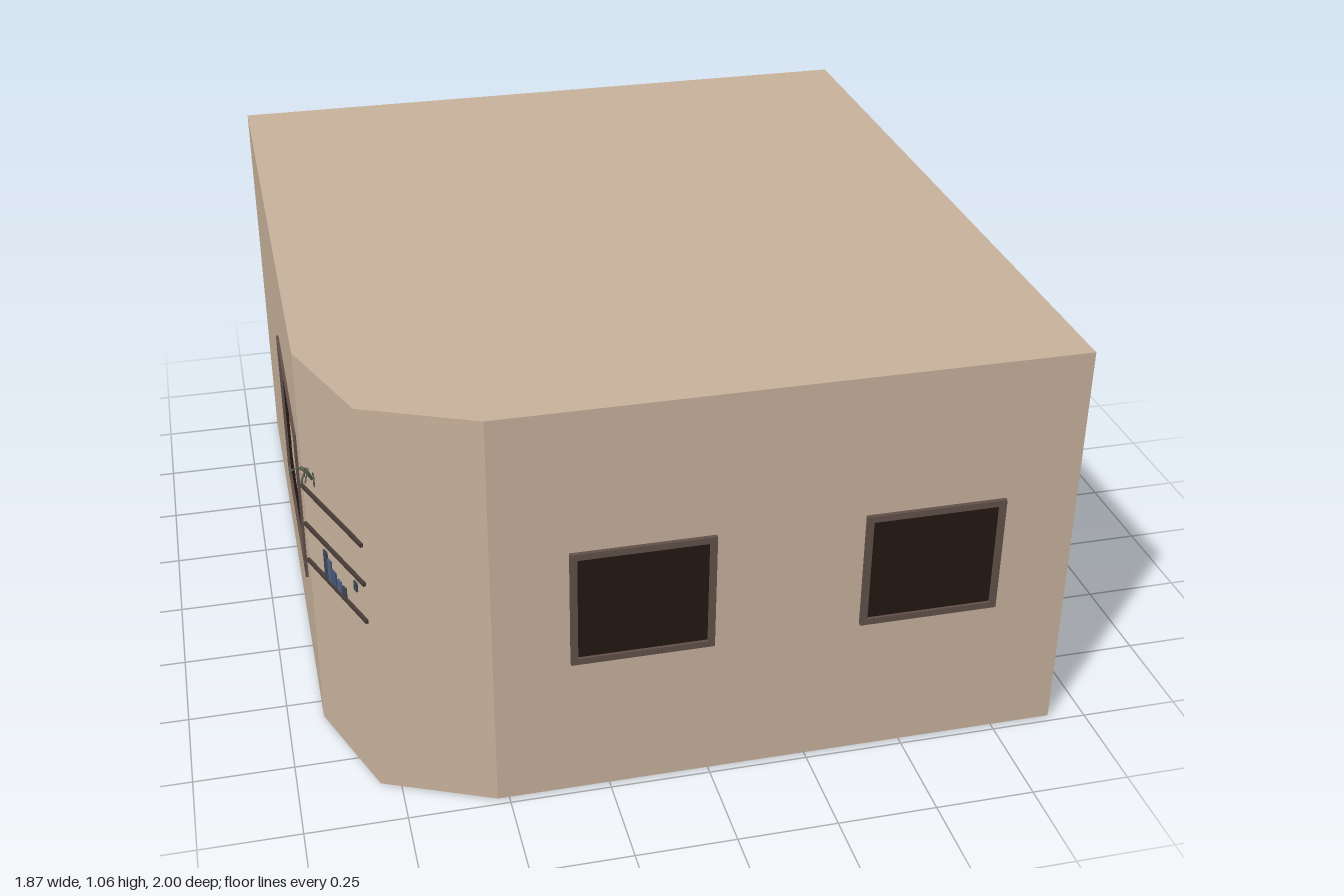
import * as THREE from 'three';

const mat = (color) => new THREE.MeshStandardMaterial({ color, side: THREE.DoubleSide });
const wallMat = mat(0xc8b29c);
const frameMat = mat(0x62504a);
const doorMat = mat(0x5f4c43);
const glassMat = mat(0x241712);
const shelfMat = mat(0x4a3d38);
const leafMat = mat(0x59614f);

function box(parent, name, material, size, pos) {
  const mesh = new THREE.Mesh(new THREE.BoxGeometry(...size), material);
  mesh.name = name;
  mesh.position.set(...pos);
  parent.add(mesh);
  return mesh;
}

// Rectangular ring facing +z, centred on its own origin
function frame(parent, name, w, h, border, depth) {
  const ring = (a, b, type) => new type([[-a, -b], [a, -b], [a, b], [-a, b]].map(([x, y]) => new THREE.Vector2(x, y)));
  const shape = ring(w / 2, h / 2, THREE.Shape);
  shape.holes.push(ring(w / 2 - border, h / 2 - border, THREE.Path));
  const mesh = new THREE.Mesh(new THREE.ExtrudeGeometry(shape, { depth, bevelEnabled: false }), frameMat);
  mesh.name = name;
  parent.add(mesh);
  return mesh;
}

function makeWindow(name, w, h) {
  const g = new THREE.Group();
  g.name = name;
  frame(g, 'windowFrame', w, h, 0.017, 0.01);
  box(g, 'windowPane', glassMat, [w - 0.03, h - 0.03, 0.004], [0, 0, 0.001]);
  return g;
}

export function createModel() {
  const model = new THREE.Group();
  model.name = 'room';

  // Room footprint as [x, z], with a faceted corner at the front right
  const plan = [[-0.91, -1], [0.905, -1], [0.905, 0.985], [-0.53, 0.985], [-0.8, 0.865], [-0.91, 0.57]];
  const shape = new THREE.Shape(plan.map(([x, z]) => new THREE.Vector2(x, -z)));
  for (const [name, y, depth] of [['floor', 0.005, 0.008], ['walls', 0.013, 1.032], ['roof', 1.045, 0.015]]) {
    const geo = new THREE.ExtrudeGeometry(shape, { depth, bevelEnabled: false });
    const mesh = new THREE.Mesh(geo.rotateX(-Math.PI / 2), wallMat);
    mesh.name = name;
    mesh.position.y = y;
    model.add(mesh);
  }

  // Two front windows and one on the right-hand side wall
  for (const x of [-0.17, 0.545]) {
    const w = makeWindow('frontWindow', 0.35, 0.31);
    w.position.set(x, 0.535, 0.985);
    model.add(w);
  }
  const side = makeWindow('sideWindow', 0.55, 0.42);
  side.rotation.y = -Math.PI / 2;
  side.position.set(-0.907, 0.54, 0.135);
  model.add(side);

  // Door on the left wall
  const door = new THREE.Group();
  door.name = 'door';
  door.rotation.y = Math.PI / 2;
  door.position.set(0.905, 0.33, 0.69);
  frame(door, 'doorFrame', 0.325, 0.66, 0.032, 0.02);
  box(door, 'doorPanel', doorMat, [0.265, 0.6, 0.012], [0, 0, 0.006]);
  box(door, 'doorSill', frameMat, [0.325, 0.006, 0.04], [0, -0.327, 0]);
  model.add(door);

  // Shelves whose edges show on the slanted wall
  const shelves = new THREE.Group();
  shelves.name = 'shelves';
  shelves.rotation.y = Math.atan2(-0.937, 0.349);
  shelves.position.set(-0.855, 0, 0.7175);
  for (const y of [0.49, 0.595, 0.703]) box(shelves, 'shelf', shelfMat, [0.315, 0.01, 0.014], [0, y, 0]);

  // Books on the lowest shelf
  const books = [[-0.055, 0.075, 0x3d4658], [-0.035, 0.06, 0x51617f], [-0.012, 0.04, 0x44567c],
    [0.015, 0.03, 0x51617f], [0.04, 0.025, 0x3d4658]];
  for (const [x, h, color] of books) box(shelves, 'book', mat(color), [0.018, h, 0.008], [x, 0.495 + h / 2, 0]);
  box(shelves, 'ornament', mat(0x3d4658), [0.015, 0.025, 0.008], [0.105, 0.56, 0]);

  // Trailing plant above the top shelf
  const plant = new THREE.Group();
  plant.name = 'plant';
  plant.position.set(-0.105, 0.745, -0.005);
  for (let i = 0; i < 7; i++) {
    const a = (i / 6 - 0.5) * 2.4;
    const r = 0.03 + 0.012 * (i % 3);
    const dx = Math.sin(a) * r, dz = Math.cos(a) * r;
    const curve = new THREE.QuadraticBezierCurve3(
      new THREE.Vector3(0, -0.01, 0),
      new THREE.Vector3(dx * 0.6, 0.06, dz * 0.6),
      new THREE.Vector3(dx, 0.012 * (i % 3) - 0.005, dz));
    const leaf = new THREE.Mesh(new THREE.TubeGeometry(curve, 6, 0.0022, 4), leafMat);
    leaf.name = 'leaf';
    plant.add(leaf);
  }
  shelves.add(plant);
  model.add(shelves);

  return model;
}
